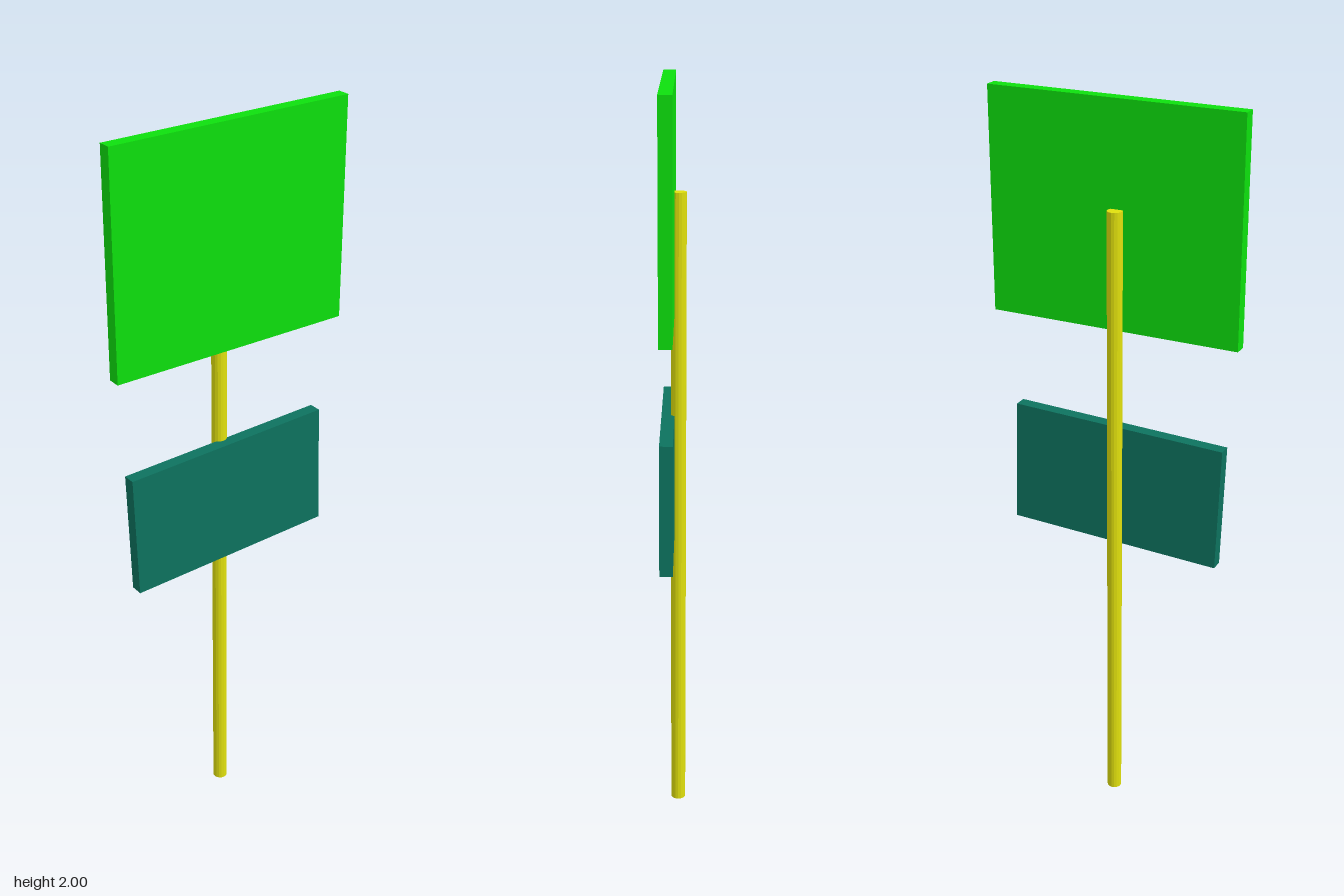
import * as THREE from 'three';

export function createModel() {
  const group = new THREE.Group();

  const add = (name, geometry, color, x, y, z, tilt = 0) => {
    const material = new THREE.MeshStandardMaterial({ color, flatShading: true });
    const mesh = new THREE.Mesh(geometry, material);
    mesh.name = name;
    mesh.position.set(x, y, z);
    mesh.rotation.z = tilt;
    group.add(mesh);
  };

  // Round pole standing on the ground, sunk slightly into the boards
  add('pole', new THREE.CylinderGeometry(0.02, 0.02, 1.73, 16), 0xe0e00d, -0.012, 0.865, -0.013);

  // Large upper board
  add('upperBoard', new THREE.BoxGeometry(0.683, 0.585, 0.034), 0x0de00d, 0, 1.7075, 0.015);

  // Smaller lower board, hung slightly crooked
  add('lowerBoard', new THREE.BoxGeometry(0.595, 0.341, 0.034), 0x0d735f, -0.007, 0.976, 0.015, 0.033);

  return group;
}
